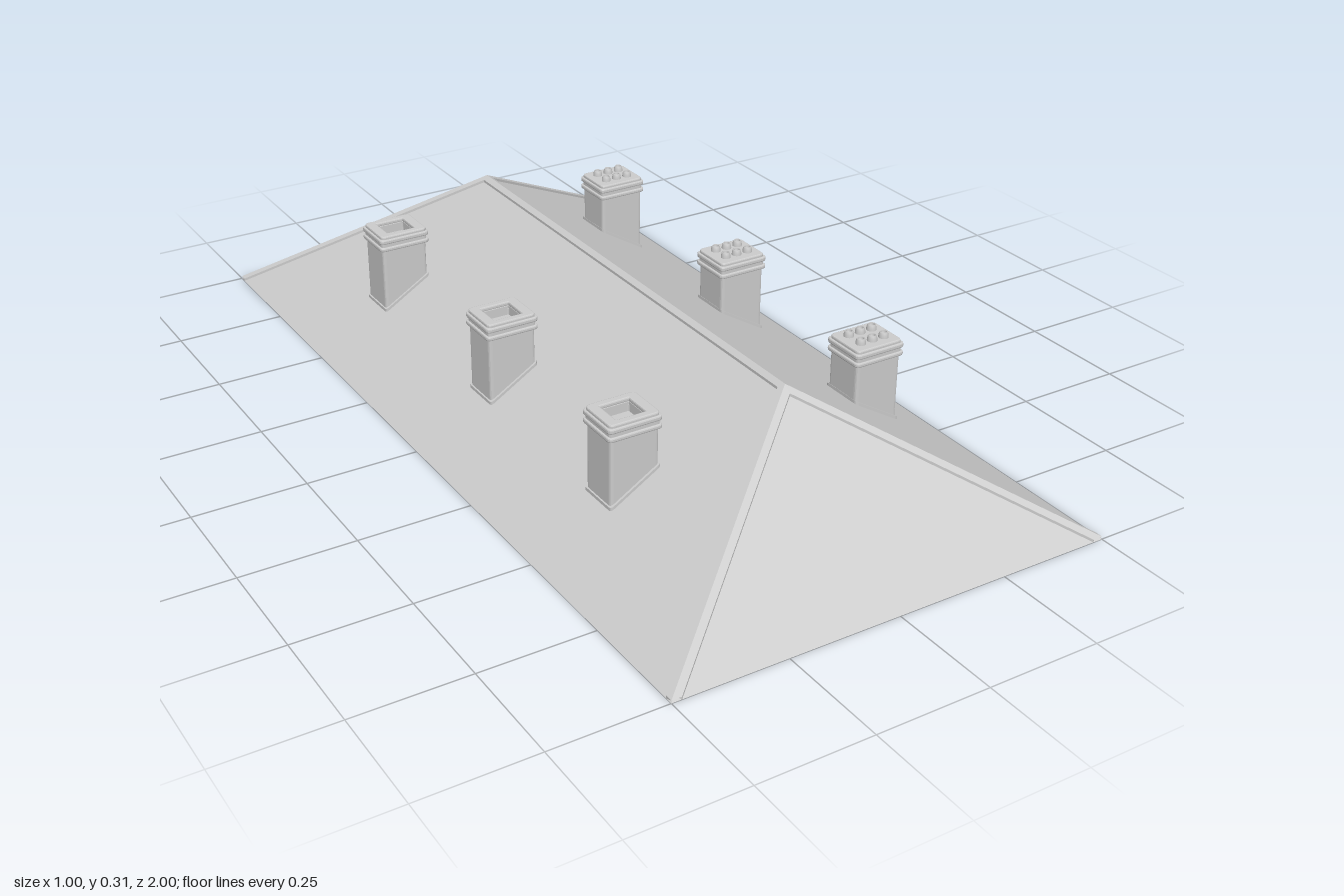
import * as THREE from 'three';

const W = 0.5, L = 1, H = 0.302, RIDGE = 0.615; // half width, half length, height, half ridge
const mat = new THREE.MeshStandardMaterial({ color: 0xcccccc, side: THREE.DoubleSide });
const flat = new THREE.MeshStandardMaterial({ color: 0xcccccc, side: THREE.DoubleSide, flatShading: true });
const roofY = (x) => H * (1 - Math.abs(x) / W);

function add(parent, name, geo, material = mat) {
  const m = new THREE.Mesh(geo, material);
  m.name = name;
  parent.add(m);
  return m;
}

// Flat polygons given as corner loops, counter-clockwise from outside
function faces(polys) {
  const pos = [];
  for (const p of polys)
    for (let i = 1; i < p.length - 1; i++) pos.push(...p[0], ...p[i], ...p[i + 1]);
  const g = new THREE.BufferGeometry();
  g.setAttribute('position', new THREE.Float32BufferAttribute(pos, 3));
  g.computeVertexNormals();
  return g;
}

// Solid strip between two cross-sections
function loft(a, b) {
  const polys = a.map((p, i) => {
    const j = (i + 1) % a.length;
    return [p, a[j], b[j], b[i]];
  });
  return faces([...polys, [...a].reverse(), b]);
}

function roundedRect(w, d, r, Type = THREE.Shape) {
  const s = new Type(), x = w / 2, y = d / 2;
  s.moveTo(-x + r, -y);
  s.lineTo(x - r, -y).quadraticCurveTo(x, -y, x, -y + r);
  s.lineTo(x, y - r).quadraticCurveTo(x, y, x - r, y);
  s.lineTo(-x + r, y).quadraticCurveTo(-x, y, -x, y - r);
  s.lineTo(-x, -y + r).quadraticCurveTo(-x, -y, -x + r, -y);
  return s;
}

// Rounded slab from y0 to y1, with bevelled edges and an optional opening
function slab(w, d, y0, y1, bevel = 0, open = false) {
  const s = roundedRect(w - 2 * bevel, d - 2 * bevel, 0.008);
  if (open) s.holes.push(roundedRect(0.066 + 2 * bevel, 0.062 + 2 * bevel, 0.004, THREE.Path));
  const g = new THREE.ExtrudeGeometry(s, {
    depth: y1 - y0 - 2 * bevel, curveSegments: 4, steps: 1,
    bevelEnabled: bevel > 0, bevelSize: bevel, bevelThickness: bevel, bevelSegments: 2,
  });
  return g.rotateX(-Math.PI / 2).translate(0, y0 + bevel, 0);
}

// Cuts the bottom of a slab to the roof slope; the top follows too if height is given
function sitOnRoof(g, cx, height) {
  const p = g.attributes.position;
  for (let i = 0; i < p.count; i++) {
    const base = roofY(cx + p.getX(i)) + 0.0005;
    if (p.getY(i) < 0.1) p.setY(i, base);
    else if (height) p.setY(i, base + height);
  }
  g.computeVertexNormals();
  return g;
}

function chimney(cx, cz, withPots) {
  const c = new THREE.Group();
  c.name = withPots ? 'chimneyWithPots' : 'openChimney';
  const open = !withPots;
  add(c, 'shaft', sitOnRoof(slab(0.109, 0.092, 0, 0.25), cx));
  add(c, 'flashing', sitOnRoof(slab(0.114, 0.102, 0, 0.2), cx, 0.007));
  add(c, 'lowerBand', slab(0.122, 0.105, 0.244, 0.254, 0.003, open));
  add(c, 'neck', slab(0.113, 0.097, 0.25, 0.265, 0, open));
  add(c, 'upperBand', slab(0.122, 0.105, 0.262, 0.273, 0.003, open));
  add(c, 'crown', slab(0.113, 0.097, 0.27, 0.28, 0.003, open));
  if (withPots) {
    // Tapered hollow pots in two rows of three
    const profile = [[0.011, 0.278], [0.0105, 0.285], [0.009, 0.291], [0.0075, 0.293], [0.006, 0.291], [0.006, 0.282], [0, 0.282]]
      .map(([x, y]) => new THREE.Vector2(x, y));
    const pot = new THREE.LatheGeometry(profile, 14);
    for (const i of [-1, 0, 1])
      for (const k of [-1, 1]) add(c, 'pot', pot).position.set(i * 0.029, 0, k * 0.02);
  }
  c.position.set(cx, 0, cz);
  return c;
}

export function createModel() {
  const model = new THREE.Group();
  model.name = 'hippedRoof';

  // Open roof shell: two long slopes and two hips
  const [fr, fl, br, bl] = [[W, 0, L], [-W, 0, L], [W, 0, -L], [-W, 0, -L]];
  const f = [0, H, RIDGE], b = [0, H, -RIDGE];
  add(model, 'roofShell', faces([[fr, br, b, f], [bl, fl, f, b], [fl, fr, f], [br, bl, b]]), flat);

  // Cap strips folded over the four hip lines
  const dx = 0.022, dz = 0.017, up = 0.006;
  const lift = ([x, y, z]) => [x, y + up, z];
  for (const sx of [-1, 1])
    for (const sz of [-1, 1]) {
      const t = 1 - dx / W;
      const eave = [[sx * W, 0, sz * (L - dz)], [sx * W, 0, sz * L], [sx * (W - dx), 0, sz * L]];
      const top = [[0, H, sz * (RIDGE - dz)], [0, H, sz * RIDGE], [0, H * t, sz * (L + (RIDGE - L) * t)]];
      const section = (p) => {
        const s = [...p, ...p.map(lift).reverse()];
        return sx * sz > 0 ? s : s.reverse();
      };
      add(model, 'hipCap', loft(section(eave), section(top)), flat);
    }

  // Ridge cap
  const e = 0.012;
  const ridge = (z) => {
    const p = [[-e, roofY(e), z], [0, H, z], [e, roofY(e), z]];
    return [...p, ...p.map(lift).reverse()];
  };
  add(model, 'ridgeCap', loft(ridge(-RIDGE), ridge(RIDGE)), flat);

  // Three chimneys on each slope
  for (const z of [-0.515, 0.003, 0.493])
    for (const sx of [-1, 1]) model.add(chimney(sx * 0.291, z, sx > 0));

  return model;
}
